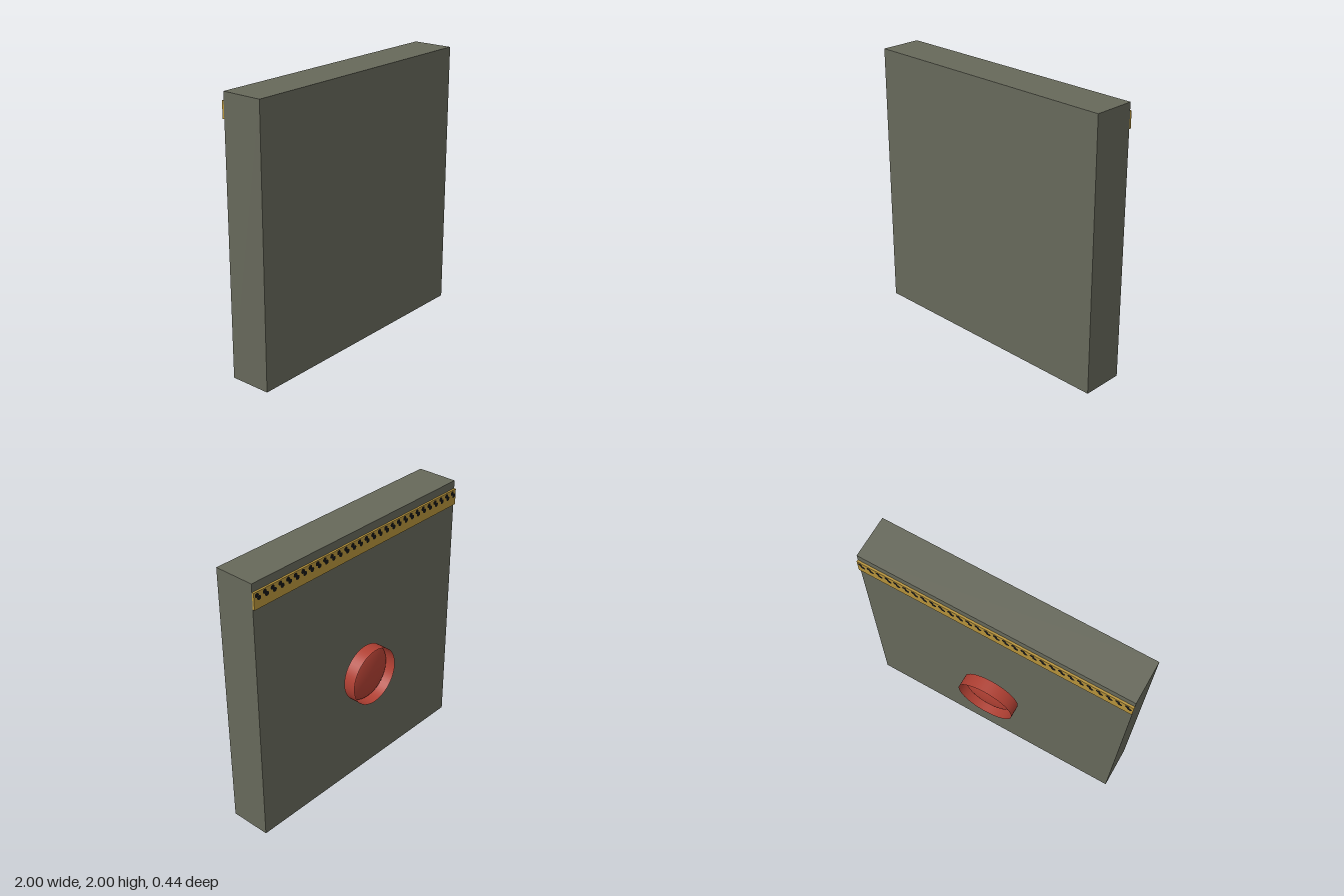
import * as THREE from 'three';

const mat = (name, color, side = THREE.FrontSide) => {
  const m = new THREE.MeshStandardMaterial({ color, side });
  m.name = name;
  return m;
};

export function createModel() {
  const group = new THREE.Group();
  const olive = mat('olive grey', 0x66685a);
  const gold = mat('gold', 0xb5923a);
  const black = mat('black', 0x151515);
  const red = mat('red', 0xb04033, THREE.DoubleSide);

  const add = (name, geometry, material, x, y, z) => {
    const mesh = new THREE.Mesh(geometry, material);
    mesh.name = name;
    mesh.position.set(x, y, z);
    group.add(mesh);
    return mesh;
  };

  // Square slab
  add('panel', new THREE.BoxGeometry(2, 2, 0.31), olive, 0, 1, 0.065);

  // Raised band across the top of the back
  add('band', new THREE.BoxGeometry(2, 0.12, 0.015), gold, 0, 1.88, -0.0975);

  // Row of slanted two-lobed spots along the band's upper half
  const count = 30;
  const spot = new THREE.CircleGeometry(0.017, 10).rotateY(Math.PI);
  for (let i = 0; i < count; i++) {
    const x = -1 + (2 * (i + 0.5)) / count;
    add('upperSpot', spot, black, x + 0.009, 1.918, -0.107);
    add('lowerSpot', spot, black, x - 0.009, 1.895, -0.107);
  }

  // Round cup floating behind the slab, open to the back
  const wall = new THREE.CylinderGeometry(0.217, 0.217, 0.095, 48, 1, true).rotateX(-Math.PI / 2);
  add('cupWall', wall, red, 0, 0.876, -0.1725);

  // Shallow dome inside the cup
  const profile = [];
  for (let i = 0; i <= 10; i++) {
    const a = (i / 10) * Math.PI / 2;
    profile.push(new THREE.Vector2(0.216 * Math.cos(a), 0.07 * Math.sin(a)));
  }
  add('cupDome', new THREE.LatheGeometry(profile, 48).rotateX(-Math.PI / 2), red, 0, 0.876, -0.126);

  return group;
}
